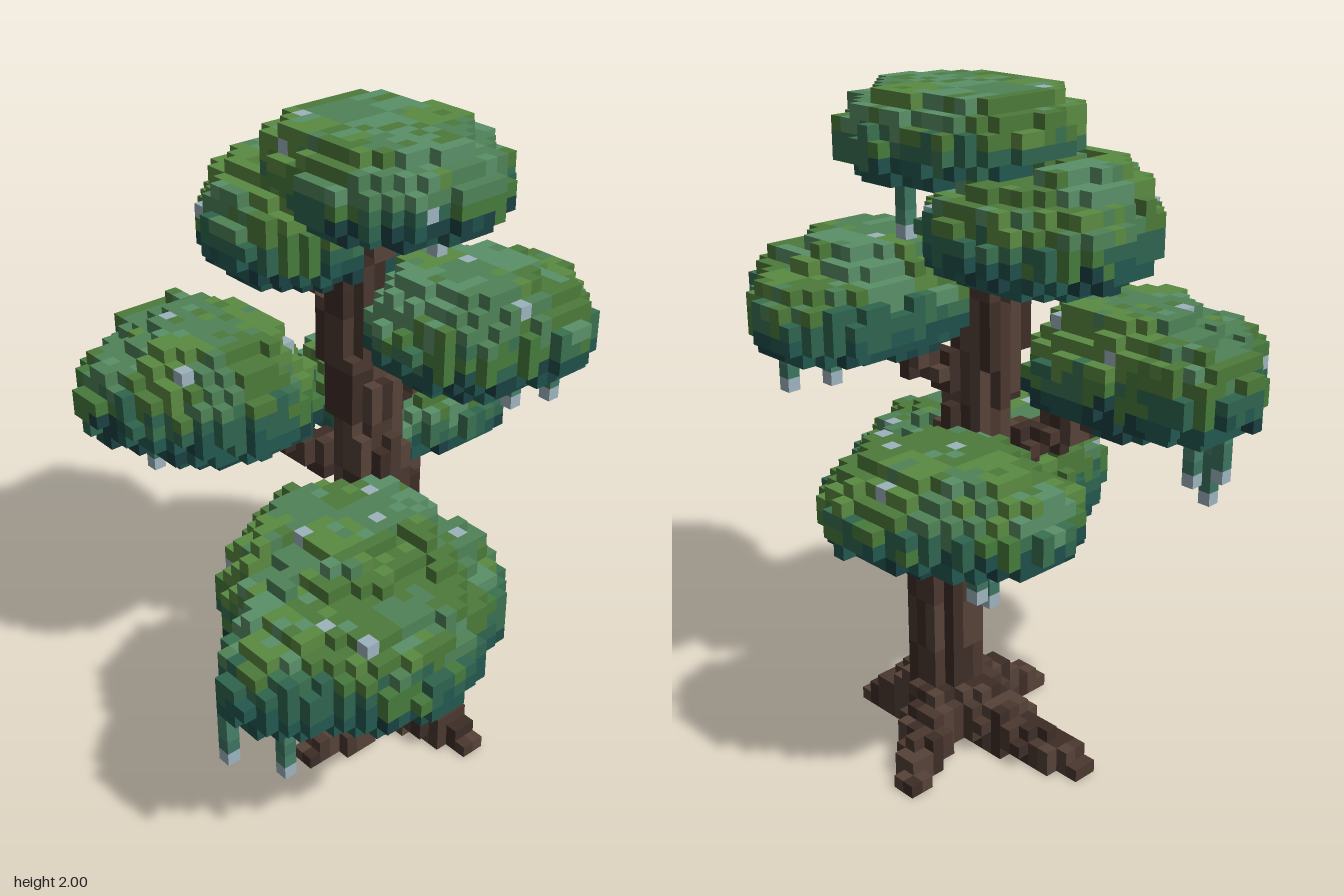
import * as THREE from 'three';

const S = 0.04; // edge of one block
const WOOD = [0x4a382f, 0x554238, 0x3d2d26];
const TOP = [0x5a9068, 0x5b8a42, 0x4f8258, 0x4d7a3a];
const MID = [0x3a7050, 0x467a3c, 0x2f654f];
const LOW = [0x1f4f4a, 0x1b4042, 0x235850];
const VINE = [0x47806a, 0x3c7460];
const PALE = 0x9db3bd;

// repeatable noise in 0..1 for a block position
function hash(x, y, z) {
  let h = (x * 374761393 + y * 668265263 + z * 1274126177) | 0;
  h = Math.imul(h ^ (h >>> 13), 1274126177);
  return ((h ^ (h >>> 16)) >>> 0) / 4294967296;
}
const pick = (list, x, y, z) => list[Math.floor(hash(x, y, z) * list.length)];
const cell = v => Math.floor(v / S + 1e-6);
const mid = i => (i + 0.5) * S;

// foliage pads: bottom, top and overlapping lobes [x, z, radius x, radius z, bottom, top]
const PADS = [
  ['lowerFrontFoliage', 0.56, 0.96, [[0.22, 0.17, 0.34, 0.37, 0.56, 0.96], [0.46, 0.26, 0.26, 0.32, 0.58, 0.88],
    [0.38, 0.46, 0.20, 0.26, 0.58, 0.86], [0.38, 0.04, 0.24, 0.24, 0.58, 0.90]]],
  ['lowerBackFoliage', 0.84, 1.12, [[-0.24, -0.42, 0.30, 0.26, 0.84, 1.12], [-0.42, -0.38, 0.18, 0.20, 0.86, 1.06],
    [-0.18, -0.52, 0.26, 0.20, 0.86, 1.06]]],
  ['middleLeftFoliage', 1.04, 1.40, [[-0.30, 0.26, 0.30, 0.26, 1.04, 1.40], [-0.50, 0.22, 0.22, 0.20, 1.08, 1.34],
    [-0.40, 0.40, 0.20, 0.20, 1.08, 1.32], [-0.18, 0.20, 0.18, 0.20, 1.06, 1.30]]],
  ['upperBackFoliage', 1.28, 1.60, [[0.22, -0.28, 0.26, 0.28, 1.28, 1.60], [0.18, -0.46, 0.22, 0.22, 1.30, 1.53],
    [0.34, -0.38, 0.18, 0.18, 1.30, 1.54], [0.14, -0.22, 0.18, 0.20, 1.30, 1.54]]],
  ['upperSideFoliage', 1.52, 1.82, [[-0.24, -0.08, 0.31, 0.32, 1.52, 1.82], [-0.38, -0.16, 0.18, 0.18, 1.54, 1.76]]],
  ['crownFoliage', 1.74, 2.00, [[0.10, -0.10, 0.30, 0.30, 1.74, 2.00], [-0.08, -0.10, 0.20, 0.26, 1.78, 2.00]]],
];

// hanging vines: x, z, lower end, upper end
const VINES = [
  [0.38, 0.54, 0.36, 0.68], [0.34, 0.70, 0.48, 0.72], [0.26, 0.50, 0.48, 0.68],
  [0.46, 0.22, 0.44, 0.64], [-0.22, -0.26, 0.60, 0.92], [-0.34, -0.42, 0.72, 0.92],
  [-0.58, 0.30, 0.92, 1.16], [-0.54, 0.30, 0.84, 1.16], [-0.54, 0.22, 0.92, 1.16],
  [0.30, -0.46, 1.24, 1.36], [0.34, -0.50, 1.16, 1.40], [0.30, -0.38, 1.16, 1.36],
  [0.10, -0.26, 1.60, 1.80],
];

export function createModel() {
  const cells = new Map();
  const key = (x, y, z) => `${x},${y},${z}`;
  const put = (part, color, x, y, z) => {
    if (y >= 0 && !cells.has(key(x, y, z))) cells.set(key(x, y, z), { part, color, x, y, z });
  };

  // a round limb along points [x, y, z, radius]
  function limb(part, points) {
    for (let k = 0; k + 1 < points.length; k++) {
      const a = points[k], b = points[k + 1];
      const n = Math.ceil(Math.hypot(b[0] - a[0], b[1] - a[1], b[2] - a[2]) / (S * 0.5));
      for (let s = 0; s <= n; s++) {
        const [px, py, pz, r] = a.map((v, i) => v + (b[i] - v) * s / n);
        const flat = part === 'trunk' ? S * 0.5 : r;
        for (let x = cell(px - r); x <= cell(px + r); x++)
          for (let y = cell(py - flat); y <= cell(py + flat); y++)
            for (let z = cell(pz - r); z <= cell(pz + r); z++) {
              const d = Math.hypot(mid(x) - px, part === 'trunk' ? 0 : mid(y) - py, mid(z) - pz);
              if (d <= r) put(part, pick(WOOD, x, y >> 2, z), x, y, z);
            }
      }
    }
  }

  // trunk and branches
  limb('trunk', [[0.1, 0.02, -0.14, 0.105], [0.1, 0.6, -0.14, 0.1], [0.03, 0.95, -0.1, 0.09],
    [-0.05, 1.35, -0.08, 0.085], [-0.05, 1.56, -0.08, 0.07], [0.06, 1.82, -0.1, 0.06]]);
  limb('branches', [[0.1, 0.5, -0.1, 0.05], [0.16, 0.57, 0.08, 0.045], [0.26, 0.68, 0.22, 0.05]]);
  limb('branches', [[0.06, 0.68, -0.18, 0.06], [-0.08, 0.8, -0.3, 0.05], [-0.22, 0.92, -0.42, 0.05]]);
  limb('branches', [[0.02, 0.92, -0.08, 0.06], [-0.16, 1.02, 0.06, 0.05], [-0.32, 1.14, 0.24, 0.05]]);
  limb('branches', [[-0.02, 1.18, -0.1, 0.05], [0.1, 1.26, -0.24, 0.05], [0.2, 1.38, -0.34, 0.04]]);
  limb('branches', [[-0.05, 1.42, -0.08, 0.06], [-0.14, 1.5, -0.08, 0.06], [-0.22, 1.6, -0.08, 0.05]]);

  // four roots spreading crosswise from a flared foot
  for (const [x, z] of [[-0.37, -0.04], [0.08, 0.21], [0.37, -0.2], [-0.08, -0.45]]) {
    const at = (t, y, r) => [0.1 + (x - 0.1) * t, y, -0.14 + (z + 0.14) * t, r];
    limb('roots', [at(0.1, 0.14, 0.1), at(0.45, 0.08, 0.08), at(0.75, 0.04, 0.06), at(1, 0.02, 0.04)]);
  }

  // foliage: lobes flat below, domed and patchy on top
  for (const [name, y0, y1, lobes] of PADS)
    for (const [cx, cz, rx, rz, low, high] of lobes) {
      const waist = low + (high - low) * 0.36;
      for (let x = cell(cx - rx); x <= cell(cx + rx); x++)
        for (let z = cell(cz - rz); z <= cell(cz + rz); z++) {
          const r = Math.hypot((mid(x) - cx) / rx, (mid(z) - cz) / rz) + hash(x >> 1, 7, z >> 1) * 0.06;
          if (r > 1) continue;
          const patch = 0.8 + 0.35 * hash(x >> 2, 3, (z + (x >> 2)) >> 2);
          const top = Math.min(high, waist + S + (high - waist) * patch * Math.sqrt(1 - r * r));
          const bottom = waist - (waist - low) * Math.min(1, Math.sqrt((1 - r) / 0.4));
          const last = Math.min(Math.round(y1 / S) - 1, Math.max(cell(waist), Math.round(top / S) - 1));
          for (let y = Math.round(bottom / S); y <= last; y++) {
            const t = (mid(y) - y0) / (y1 - y0) + (hash(x, y, z) - 0.5) * 0.16;
            const band = t < 0.34 ? LOW : t < 0.56 ? MID : TOP;
            // broad colour patches with a few single odd blocks
            const odd = hash(x, y + 50, z);
            const color = odd > 0.985 && t > 0.4 ? PALE
              : odd > 0.75 ? pick(band, x, y, z) : pick(band, x >> 2, 1, z >> 2);
            put(name, color, x, y, z);
          }
        }
    }

  // vines with pale tips
  for (const [vx, vz, low, high] of VINES) {
    const x = cell(vx - S / 2), z = cell(vz - S / 2), y0 = Math.round(low / S);
    for (let y = y0; y < Math.round(high / S); y++)
      put('vines', y === y0 ? PALE : pick(VINE, x, y, z), x, y, z);
  }

  // only the outer faces of the blocks, gathered by part and colour
  const faces = new Map();
  for (const c of cells.values()) {
    for (let axis = 0; axis < 3; axis++)
      for (const sign of [1, -1]) {
        const n = [0, 0, 0];
        n[axis] = sign;
        if (cells.has(key(c.x + n[0], c.y + n[1], c.z + n[2]))) continue;
        const id = `${c.part}|${c.color}`;
        if (!faces.has(id)) faces.set(id, { part: c.part, color: c.color, pos: [], nor: [] });
        const f = faces.get(id), u = (axis + 1) % 3, v = (axis + 2) % 3;
        const ring = [[0, 0], [1, 0], [1, 1], [0, 1]];
        if (sign < 0) ring.reverse();
        for (const i of [0, 1, 2, 0, 2, 3]) {
          const p = [c.x, c.y, c.z];
          p[axis] += sign > 0 ? 1 : 0;
          p[u] += ring[i][0];
          p[v] += ring[i][1];
          f.pos.push(p[0] * S, p[1] * S, p[2] * S);
          f.nor.push(...n);
        }
      }
  }

  const model = new THREE.Group();
  model.name = 'tree';
  const parts = {};
  for (const { part, color, pos, nor } of faces.values()) {
    if (!parts[part]) {
      parts[part] = new THREE.Group();
      parts[part].name = part;
      model.add(parts[part]);
    }
    const geometry = new THREE.BufferGeometry();
    geometry.setAttribute('position', new THREE.Float32BufferAttribute(pos, 3));
    geometry.setAttribute('normal', new THREE.Float32BufferAttribute(nor, 3));
    const mesh = new THREE.Mesh(geometry, new THREE.MeshStandardMaterial({ color }));
    mesh.name = `${part}Blocks`;
    parts[part].add(mesh);
  }
  return model;
}
